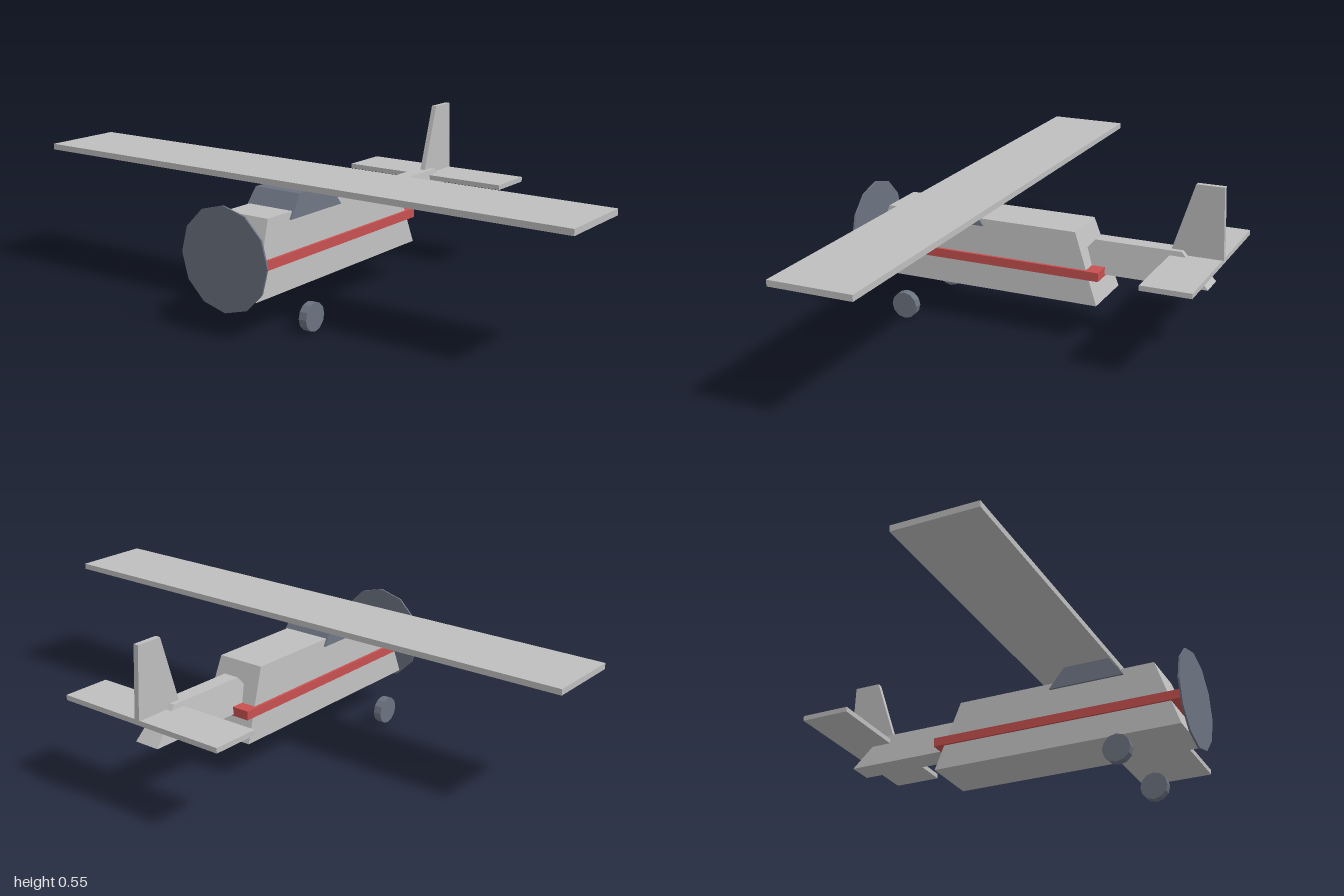
import * as THREE from 'three';

const material = (name, color) => {
  const m = new THREE.MeshStandardMaterial({ color });
  m.name = name;
  return m;
};

export function createModel() {
  const silver = material('silver', 0xbebebe);
  const red = material('red', 0xc85050);
  const slate = material('slate', 0x6b7280);
  const plane = new THREE.Group();
  plane.name = 'airplane';

  const add = (name, geometry, mat, x = 0, y = 0, z = 0) => {
    const mesh = new THREE.Mesh(geometry, mat);
    mesh.name = name;
    mesh.position.set(x, y, z);
    plane.add(mesh);
    return mesh;
  };

  // Block whose bottom and top are rectangles: { y, w: half width, back, front }
  const block = (name, mat, bottom, top) => {
    const g = new THREE.BoxGeometry(1, 1, 1);
    const p = g.attributes.position;
    for (let i = 0; i < p.count; i++) {
      const end = p.getY(i) > 0 ? top : bottom;
      p.setXYZ(i, Math.sign(p.getX(i)) * end.w, end.y, p.getZ(i) > 0 ? end.front : end.back);
    }
    g.computeVertexNormals();
    return add(name, g, mat);
  };
  const slab = (name, mat, w, y0, y1, back, front) =>
    block(name, mat, { y: y0, w, back, front }, { y: y1, w, back, front });

  // Body
  block('fuselage', silver,
    { y: 0.125, w: 0.102, back: -0.24, front: 0.61 },
    { y: 0.361, w: 0.084, back: -0.157, front: 0.527 });
  block('tailBoom', silver,
    { y: 0.216, w: 0.045, back: -0.593, front: -0.11 },
    { y: 0.325, w: 0.027, back: -0.498, front: -0.205 });
  slab('stripe', red, 0.103, 0.21, 0.24, -0.245, 0.613);
  block('cockpit', slate,
    { y: 0.338, w: 0.093, back: 0.169, front: 0.426 },
    { y: 0.409, w: 0.086, back: 0.22, front: 0.375 });

  // Wing and tail surfaces
  slab('wing', silver, 1, 0.419, 0.439, 0.1, 0.376);
  slab('tailplane', silver, 0.313, 0.292, 0.309, -0.625, -0.458);
  block('fin', silver,
    { y: 0.309, w: 0.009, back: -0.63, front: -0.453 },
    { y: 0.547, w: 0.009, back: -0.622, front: -0.53 });

  // Propeller disc
  const disc = new THREE.CylinderGeometry(0.165, 0.165, 0.006, 12).rotateX(Math.PI / 2).toNonIndexed();
  disc.computeVertexNormals();
  add('propellerDisc', disc, slate, 0, 0.245, 0.629);

  // Wheels
  const wheel = new THREE.CylinderGeometry(0.046, 0.046, 0.028, 12).rotateZ(Math.PI / 2).toNonIndexed();
  wheel.computeVertexNormals();
  for (const side of [-1, 1]) {
    add(side > 0 ? 'leftWheel' : 'rightWheel', wheel, slate, side * 0.167, 0.047, 0.426);
  }

  return plane;
}
